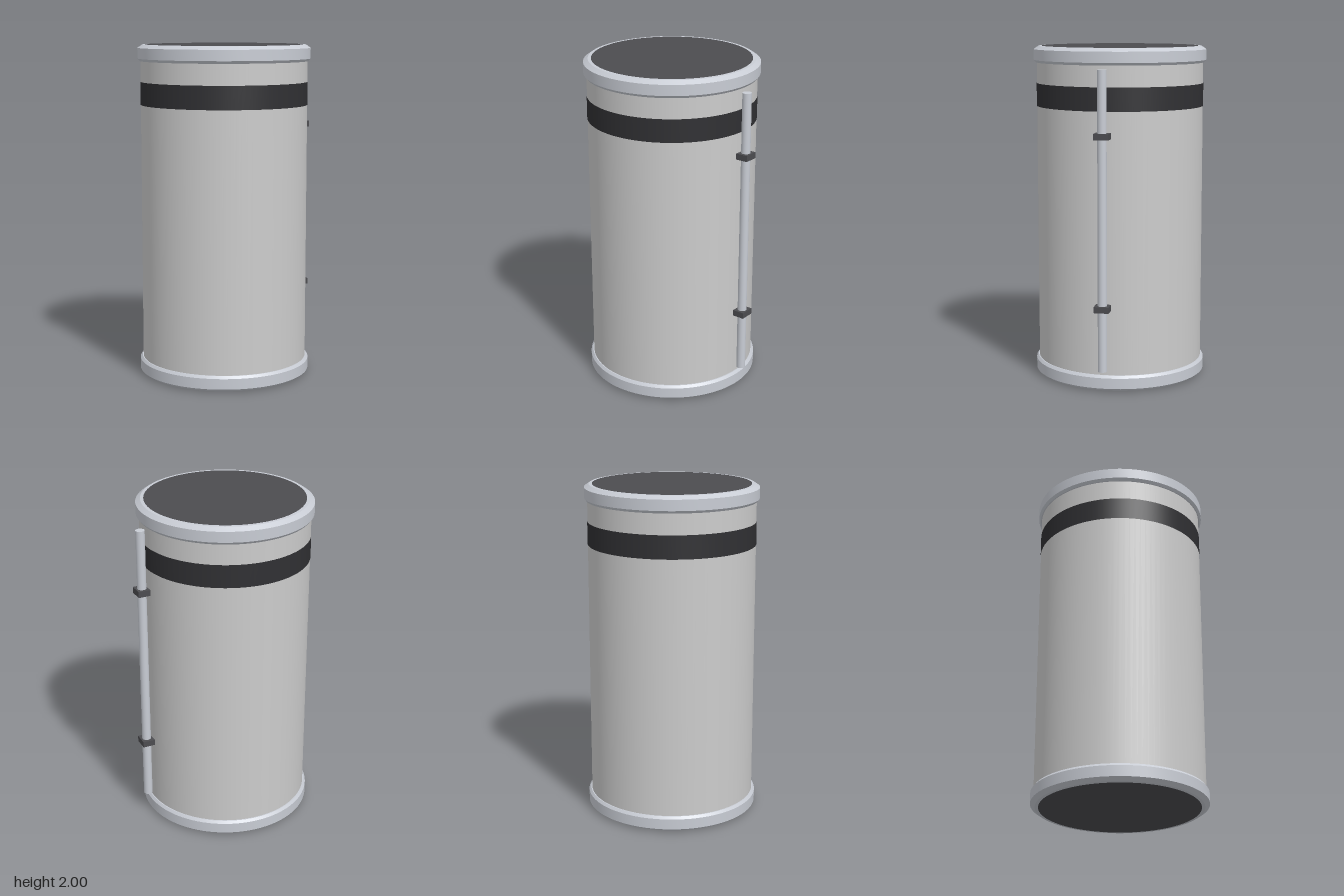
import * as THREE from 'three';
import { toCreasedNormals } from 'three/addons/utils/BufferGeometryUtils.js';

const SEGMENTS = 96;
const mat = (color) => new THREE.MeshStandardMaterial({ color });

export function createModel() {
  const model = new THREE.Group();
  const shell = mat(0xcccccc);
  const metal = mat(0xc8ccd4);
  const dark = mat(0x4c4c50);
  const black = mat(0x303033);

  function add(parent, name, geometry, material, x = 0, y = 0, z = 0) {
    const mesh = new THREE.Mesh(geometry, material);
    mesh.name = name;
    mesh.position.set(x, y, z);
    parent.add(mesh);
    return mesh;
  }

  // Drum, offset so the side rod keeps the whole centred
  const drum = new THREE.Group();
  drum.name = 'drum';
  drum.position.x = -0.027;
  model.add(drum);

  add(drum, 'body', new THREE.CylinderGeometry(0.5, 0.5, 1.88, SEGMENTS, 1, true), shell, 0, 1);
  add(drum, 'band', new THREE.CylinderGeometry(0.502, 0.502, 0.137, SEGMENTS, 1, true), black, 0, 1.711);

  // Chamfered end rims with a dark disc set in each, mirrored top and bottom
  const profile = [
    [0.5, -0.098], [0.506, -0.098], [0.518, -0.083],
    [0.518, -0.02], [0.49, -0.001], [0.47, 0],
  ].map(([r, y]) => new THREE.Vector2(r, y));
  const rimGeometry = toCreasedNormals(new THREE.LatheGeometry(profile, SEGMENTS), 0.3);
  const discGeometry = new THREE.CylinderGeometry(0.471, 0.471, 0.02, SEGMENTS);

  for (const [end, y, turn] of [['top', 2, 0], ['bottom', 0, Math.PI]]) {
    const cap = new THREE.Group();
    cap.name = end + 'Cap';
    cap.position.y = y;
    cap.rotation.x = turn;
    drum.add(cap);
    add(cap, end + 'Rim', rimGeometry, metal);
    add(cap, end + 'Disc', discGeometry, dark, 0, -0.01);
  }

  // Vertical rod held by two clips on the left side
  const rodX = 0.507;
  add(model, 'rod', new THREE.CylinderGeometry(0.027, 0.027, 1.75, 24), metal, rodX, 1.005);
  for (const y of [0.505, 1.505]) {
    add(model, 'clip', new THREE.BoxGeometry(0.08, 0.036, 0.088), dark, 0.505, y);
  }

  return model;
}
